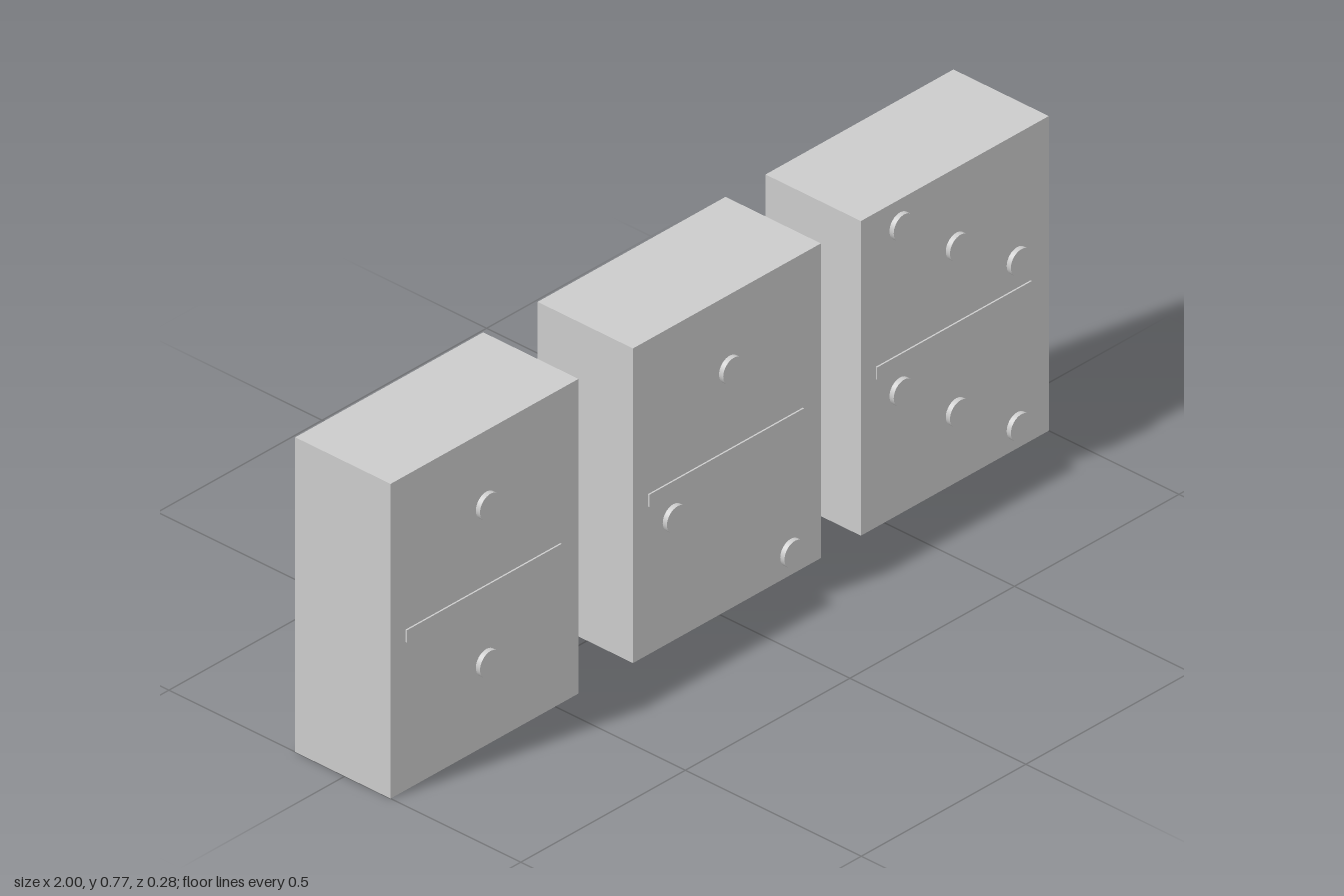
import * as THREE from 'three';

const WIDTH = 0.571, HEIGHT = 0.766;
const BACK = -0.141, FACE = 0.13;

// Each tile: centre x and the [x, y] positions of its pips
const TILES = [
  { x: -0.7145, pips: [[-0.709, 0.585], [-0.709, 0.202]] },
  { x: 0.022, pips: [[0.03, 0.585], [-0.141, 0.3], [0.216, 0.056]] },
  { x: 0.7145, pips: [
    [0.548, 0.702], [0.719, 0.576], [0.904, 0.458],
    [0.548, 0.3], [0.719, 0.173], [0.904, 0.056],
  ] },
];

export function createModel() {
  const model = new THREE.Group();
  model.name = 'dominoTiles';
  const material = new THREE.MeshStandardMaterial({ color: 0xcccccc });

  const bodyGeometry = new THREE.BoxGeometry(WIDTH, HEIGHT, FACE - BACK);
  const dividerGeometry = new THREE.BoxGeometry(0.47, 0.03, 0.014);
  const pipGeometry = new THREE.CylinderGeometry(0.032, 0.032, 0.022, 32).rotateX(Math.PI / 2);

  const add = (parent, name, geometry, x, y, z) => {
    const mesh = new THREE.Mesh(geometry, material);
    mesh.name = name;
    mesh.position.set(x, y, z);
    parent.add(mesh);
  };

  for (const { x, pips } of TILES) {
    const tile = new THREE.Group();
    tile.name = 'tile';
    // Block and the thin raised bar across its middle
    add(tile, 'tileBody', bodyGeometry, x, HEIGHT / 2, (FACE + BACK) / 2);
    add(tile, 'divider', dividerGeometry, x - 0.005, 0.376, FACE - 0.003);
    // Raised round pips
    for (const [px, py] of pips) add(tile, 'pip', pipGeometry, px, py, FACE + 0.001);
    model.add(tile);
  }
  return model;
}
